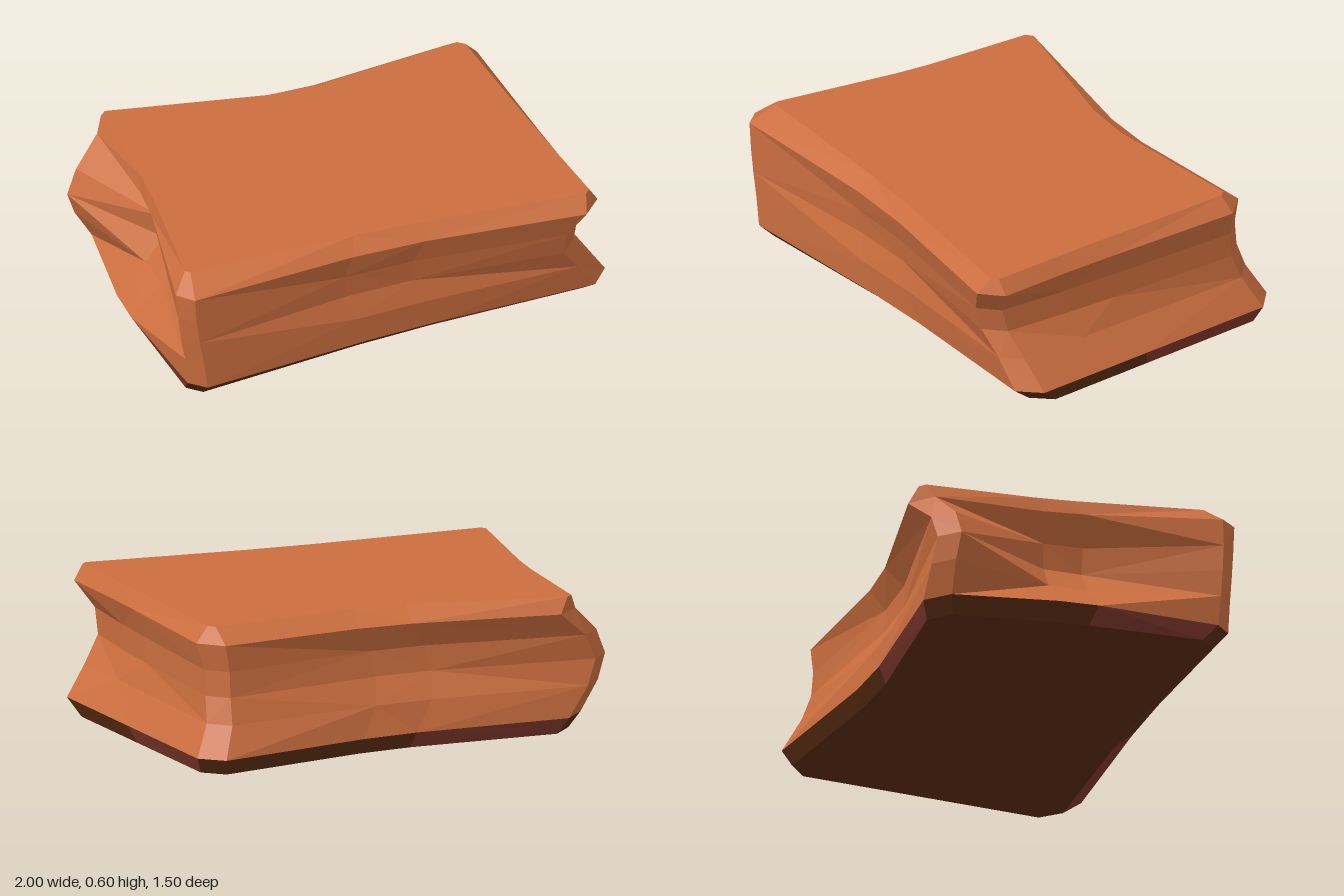
import * as THREE from 'three';

function material(name, color) {
  const m = new THREE.MeshStandardMaterial({ color });
  m.name = name;
  return m;
}
const terracotta = material('terracotta', 0xcb6e3f);
const darkBrown = material('dark brown', 0x5c2d14);
const maroon = material('maroon', 0x80382c);

// Heights of the horizontal cross-sections and the corner chamfer at each
const heights = [0, 0.07, 0.2, 0.31, 0.42, 0.535, 0.6];
const chamfers = [0.08, 0.09, 0.08, 0.08, 0.08, 0.09, 0.025];

// Each side starts at a corner [x, z] per height and runs counterclockwise.
// push moves the middle of the side outward along dir; ts places its two mid points.
const sides = [
  { // front
    corner: [[-0.93, 0.54], [-0.95, 0.61], [-0.96, 0.61], [-0.98, 0.61], [-0.995, 0.61], [-1.01, 0.61], [-0.93, 0.5]],
    chamfer: 0.75, dir: [0, 1], ts: [0.42, 0.59],
    push: [-0.03, -0.03, -0.03, -0.07, -0.07, -0.06, -0.03],
  },
  { // left side
    corner: [[0.97, 0.54], [1, 0.63], [0.9, 0.65], [0.82, 0.68], [0.82, 0.71], [0.9, 0.76], [0.86, 0.7]],
    chamfer: 1, dir: [1, 0], ts: [0.3, 0.47],
    push: [0, 0, 0, 0.01, 0.01, -0.01, -0.005],
  },
  { // back
    corner: [[0.93, -0.69], [0.96, -0.73], [0.89, -0.66], [0.88, -0.62], [0.88, -0.61], [0.91, -0.61], [0.85, -0.53]],
    chamfer: 1, dir: [0, -1], ts: [0.43, 0.57],
    push: [-0.07, -0.07, -0.06, -0.09, -0.1, -0.08, -0.11],
  },
  { // right side, with a deep hollow beside the bulging back corner
    corner: [[-0.78, -0.67], [-0.83, -0.7], [-0.91, -0.7], [-0.95, -0.69], [-0.9, -0.7], [-0.77, -0.755], [-0.75, -0.72]],
    chamfer: 1, dir: [-1, 0], ts: [0.41, 0.54],
    push: [0.03, 0.055, -0.13, -0.24, -0.2, -0.06, -0.03],
  },
];

// One cross-section: chamfered corners with two displaced points along each side
function ringAt(level) {
  const points = [];
  sides.forEach((side, i) => {
    const next = sides[(i + 1) % 4];
    const a = new THREE.Vector2(...side.corner[level]);
    const b = new THREE.Vector2(...next.corner[level]);
    const cut = chamfers[level] / a.distanceTo(b);
    const push = new THREE.Vector2(...side.dir).multiplyScalar(side.push[level]);
    points.push(a.clone().lerp(b, cut * side.chamfer));
    for (const t of side.ts) points.push(a.clone().lerp(b, t).add(push));
    points.push(a.clone().lerp(b, 1 - cut * next.chamfer));
  });
  return points.map((p) => new THREE.Vector3(p.x, heights[level], p.y));
}

// A mesh with separate flat facets
function facetMesh(name, vertices, index, mat) {
  const indexed = new THREE.BufferGeometry().setFromPoints(vertices);
  indexed.setIndex(index);
  const geometry = indexed.toNonIndexed();
  geometry.computeVertexNormals();
  const mesh = new THREE.Mesh(geometry, mat);
  mesh.name = name;
  return mesh;
}

export function createModel() {
  const rings = heights.map((_, level) => ringAt(level));
  const n = rings[0].length;
  const vertices = rings.flat();
  const body = [], base = [], baseAccent = [];

  // Walls; the lowest band is the dark bevel with a maroon stretch on each side
  for (let r = 0; r < rings.length - 1; r++) {
    for (let i = 0; i < n; i++) {
      const a = r * n + i, b = r * n + (i + 1) % n;
      const c = a + n, d = b + n;
      const faces = r > 0 ? body : i % 4 === 2 ? baseAccent : base;
      if ((i + r) % 2) faces.push(a, b, d, a, d, c);
      else faces.push(a, b, c, b, d, c);
    }
  }

  // Flat underside and top
  const last = (rings.length - 1) * n;
  const bottom = vertices.push(new THREE.Vector3(0, 0, 0)) - 1;
  const top = vertices.push(new THREE.Vector3(0, heights.at(-1), 0)) - 1;
  for (let i = 0; i < n; i++) {
    const j = (i + 1) % n;
    base.push(bottom, j, i);
    body.push(top, last + i, last + j);
  }

  const group = new THREE.Group();
  group.name = 'stone';
  group.add(
    facetMesh('slab', vertices, body, terracotta),
    facetMesh('underside', vertices, base, darkBrown),
    facetMesh('bevelAccent', vertices, baseAccent, maroon),
  );
  return group;
}
